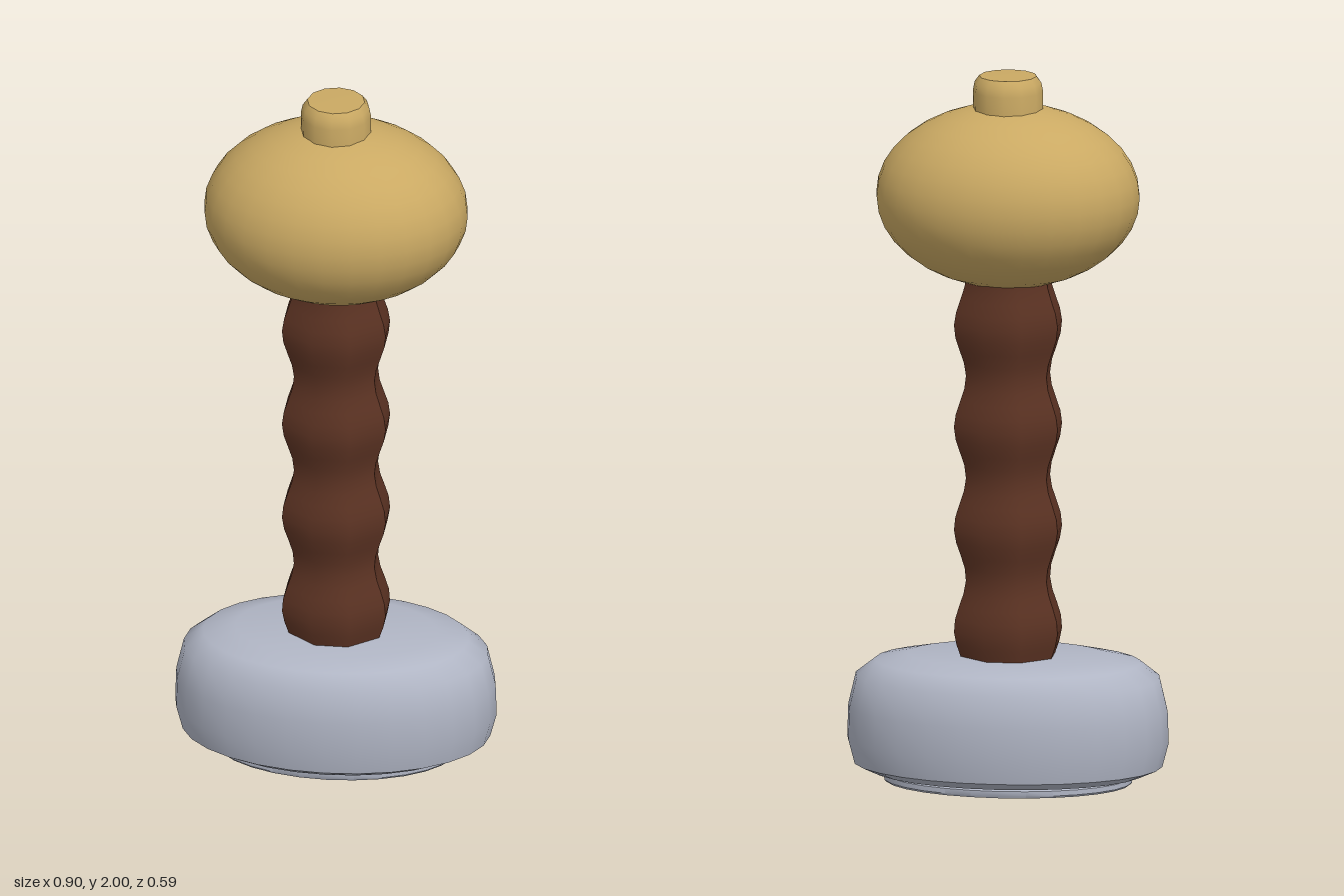
import * as THREE from 'three';
import { toCreasedNormals } from 'three/addons/utils/BufferGeometryUtils.js';

const gold = new THREE.MeshStandardMaterial({ name: 'gold', color: 0xcaa963 });
const steel = new THREE.MeshStandardMaterial({ name: 'steel', color: 0xb0b5c4 });
const leather = new THREE.MeshStandardMaterial({ name: 'brown leather', color: 0x5c3323 });

// Turned solid from [radius, y] pairs listed bottom to top, squashed along z.
function turned(profile, segments, zScale, crease) {
  const geo = new THREE.LatheGeometry(profile.map(([r, y]) => new THREE.Vector2(r, y)), segments, Math.PI / 2);
  geo.scale(1, 1, zScale);
  return toCreasedNormals(geo, crease);
}

// Eight-sided grip, swelling in even waves along its length.
function gripGeometry() {
  const outline = [[0.05, 0.125], [0.135, 0.05], [0.135, -0.05], [0.05, -0.125],
    [-0.05, -0.125], [-0.135, -0.05], [-0.135, 0.05], [-0.05, 0.125]];
  const y0 = 0.32, y1 = 1.48, rows = 32, sides = outline.length;
  const positions = [], index = [];
  for (let i = 0; i <= rows; i++) {
    const y = y0 + (y1 - y0) * i / rows;
    const wave = Math.cos((y - 0.437) / 0.286 * Math.PI * 2);
    for (const [x, z] of outline) {
      positions.push(x * (0.95 + 0.12 * wave), y, z * (0.91 + 0.09 * wave));
    }
  }
  for (let i = 0; i < rows; i++) {
    for (let j = 0; j < sides; j++) {
      const a = i * sides + j, b = i * sides + (j + 1) % sides;
      index.push(a, b, b + sides, a, b + sides, a + sides);
    }
  }
  const geo = new THREE.BufferGeometry();
  geo.setAttribute('position', new THREE.Float32BufferAttribute(positions, 3));
  geo.setIndex(index);
  return toCreasedNormals(geo, 0.75);
}

export function createModel() {
  const group = new THREE.Group();
  const add = (name, geo, material) => {
    const mesh = new THREE.Mesh(geo, material);
    mesh.name = name;
    group.add(mesh);
    return mesh;
  };

  // Oval guard with a rounded top and bevelled underside
  add('guard', turned([[0, 0.02], [0.335, 0.025], [0.38, 0.03], [0.43, 0.052], [0.448, 0.12],
    [0.445, 0.21], [0.424, 0.3], [0.37, 0.342], [0.28, 0.36], [0, 0.36]], 28, 0.657, 0.8), steel);

  // Thin oval plate under the guard
  add('basePlate', turned([[0, 0], [0.34, 0], [0.346, 0.006], [0.346, 0.02], [0.335, 0.027], [0, 0.027]],
    28, 0.65, 0.6), steel);

  // Wavy grip
  add('grip', gripGeometry(), leather);

  // Egg-shaped pommel
  const pommel = add('pommel', new THREE.SphereGeometry(1, 28, 18), gold);
  pommel.scale.set(0.367, 0.257, 0.296);
  pommel.position.y = 1.66;

  // Small bevelled button on top of the pommel
  add('button', turned([[0.097, 1.86], [0.098, 1.955], [0.093, 1.98], [0.08, 1.998], [0, 2]], 12, 1, 0.8), gold);

  return group;
}
